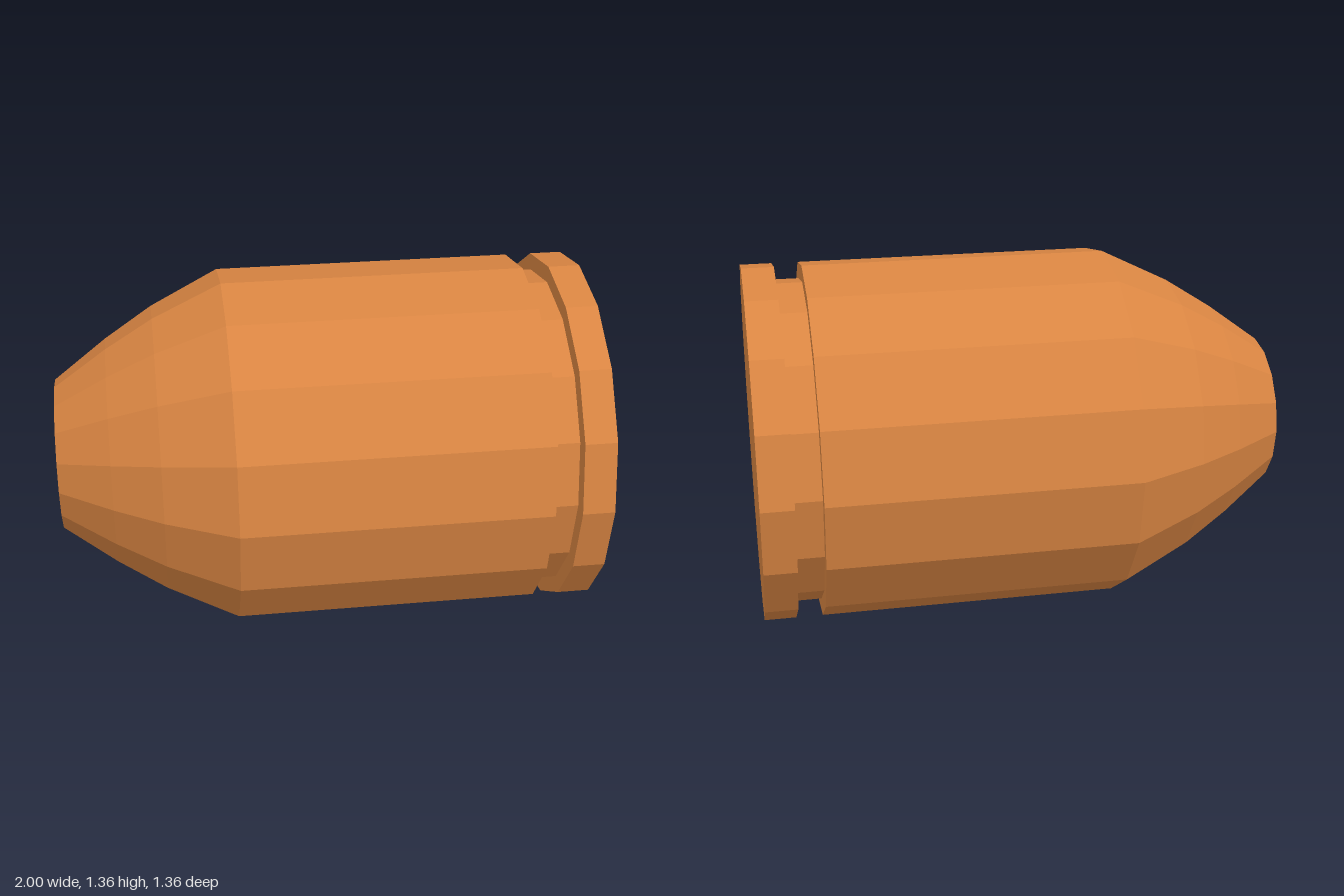
import * as THREE from 'three';

const SIDES = 16;
const RADIUS = 0.68;
const GROOVE = 0.617;

export function createModel() {
  const model = new THREE.Group();
  model.name = 'bullet';
  const copper = new THREE.MeshStandardMaterial({ color: 0xd98542, flatShading: true });

  // Turns a profile of [x, radius] points around the long x axis
  const turned = (name, profile) => {
    const points = profile.map(([x, r]) => new THREE.Vector2(r, x));
    const mesh = new THREE.Mesh(new THREE.LatheGeometry(points, SIDES), copper);
    mesh.name = name;
    mesh.rotation.z = -Math.PI / 2;
    mesh.position.y = RADIUS;
    model.add(mesh);
  };

  // Blunt tapering nose with a flat tip
  turned('nose', [[-1, 0], [-1, 0.29], [-0.8, 0.437], [-0.62, 0.552], [-0.36, RADIUS]]);
  // Straight casing, ending in the shoulder of the groove
  turned('casing', [[-0.36, RADIUS], [0.78, RADIUS], [0.78, GROOVE]]);
  // Recessed extractor groove
  turned('groove', [[0.78, GROOVE], [0.88, GROOVE]]);
  // Base rim with a flat back
  turned('rim', [[0.88, GROOVE], [0.88, RADIUS], [1, RADIUS], [1, 0]]);

  return model;
}
